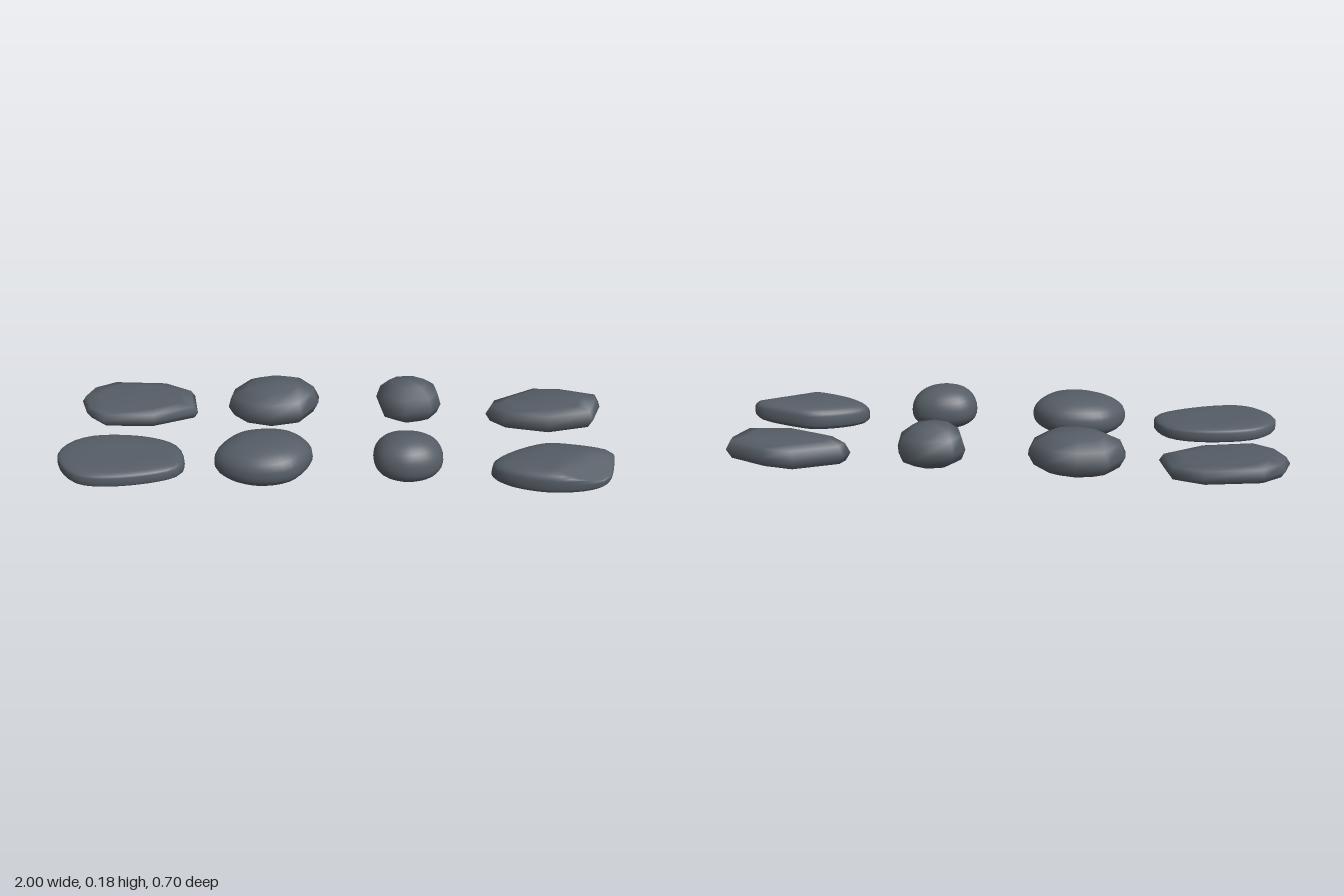
import * as THREE from 'three';

const stoneGrey = new THREE.MeshStandardMaterial({ color: 0x565d66 });
stoneGrey.name = 'stoneGrey';

// Each stone: plan outline [x, z], heights of underside, widest line and crown,
// squareness of the side profile (lower is boxier) and lean along x.
const STONES = [
  { name: 'flatStone', bottom: 0.012, middle: 0.045, top: 0.08, power: 0.5, lean: -0.035,
    outline: [[-1, 0.2], [-0.975, 0.125], [-0.9, 0.07], [-0.69, 0.057], [-0.575, 0.11],
      [-0.545, 0.24], [-0.7, 0.325], [-0.89, 0.344], [-0.965, 0.285]] },
  { name: 'wideStone', bottom: 0.002, middle: 0.072, top: 0.154, power: 0.85, lean: 0.03,
    outline: [[-0.425, 0.18], [-0.365, 0.09], [-0.255, 0.06], [-0.15, 0.08], [-0.083, 0.16],
      [-0.083, 0.21], [-0.14, 0.305], [-0.255, 0.335], [-0.36, 0.305], [-0.425, 0.24]] },
  { name: 'roundStone', bottom: 0.013, middle: 0.084, top: 0.177, power: 0.9, lean: -0.02,
    outline: [[0.138, 0.165], [0.175, 0.11], [0.285, 0.09], [0.37, 0.13], [0.385, 0.205],
      [0.35, 0.265], [0.25, 0.298], [0.16, 0.26]] },
  { name: 'wedgeStone', bottom: 0.012, middle: 0.06, top: 0.113, power: 0.6, lean: 0.06,
    chipped: true,
    outline: [[0.558, 0.21], [0.575, 0.168], [0.74, 0.077], [0.85, 0.087], [0.992, 0.142],
      [0.992, 0.18], [0.955, 0.283], [0.79, 0.317], [0.62, 0.27]] },
];

// Stack scaled copies of the outline into a closed stone with smooth normals
function stoneGeometry(stone, ring, levels, chipped) {
  const n = ring.length;
  const xs = stone.outline.map((p) => p[0]);
  const zs = stone.outline.map((p) => p[1]);
  const cx = (Math.min(...xs) + Math.max(...xs)) / 2;
  const cz = (Math.min(...zs) + Math.max(...zs)) / 2;
  const positions = [];
  const indices = [];
  const add = (x, y, z) => positions.push(x, y + (x - cx) * stone.lean, z);

  add(cx, stone.bottom, cz);
  for (let l = 1; l < levels; l++) {
    const angle = (l / levels - 0.5) * Math.PI;
    const scale = Math.pow(Math.cos(angle), stone.power);
    const s = Math.sin(angle);
    const rise = Math.pow(Math.abs(s), stone.power);
    const level = s < 0
      ? stone.middle - rise * (stone.middle - stone.bottom)
      : stone.middle + rise * (stone.top - stone.middle);
    for (const [px, pz] of ring) {
      const x = cx + (px - cx) * scale;
      const z = cz + (pz - cz) * scale;
      let y = level;
      // Sloping chip across one upper corner
      if (chipped && s > 0) {
        const past = 0.62 * x + 0.78 * z - 0.69;
        y = Math.max(stone.middle, Math.min(y, 0.113 - 0.4 * past));
      }
      add(x, y, z);
    }
  }
  add(cx, stone.top, cz);

  const last = positions.length / 3 - 1;
  const id = (l, i) => 1 + l * n + (i % n);
  for (let i = 0; i < n; i++) {
    indices.push(0, id(0, i), id(0, i + 1));
    for (let l = 0; l < levels - 2; l++) {
      const a = id(l, i), b = id(l, i + 1), c = id(l + 1, i), d = id(l + 1, i + 1);
      indices.push(b, a, c, b, c, d);
    }
    indices.push(id(levels - 2, i + 1), id(levels - 2, i), last);
  }

  const geometry = new THREE.BufferGeometry();
  geometry.setAttribute('position', new THREE.Float32BufferAttribute(positions, 3));
  geometry.setIndex(indices);
  geometry.computeVertexNormals();
  return geometry;
}

// Round an outline with a closed curve
function smoothRing(outline, count) {
  const points = outline.map(([x, z]) => new THREE.Vector3(x, 0, z));
  const curve = new THREE.CatmullRomCurve3(points, true);
  return curve.getSpacedPoints(count).slice(0, count).map((p) => [p.x, p.z]);
}

export function createModel() {
  const model = new THREE.Group();
  model.name = 'stones';
  for (const stone of STONES) {
    // Front row: finely rounded stones
    const fine = new THREE.Mesh(
      stoneGeometry(stone, smoothRing(stone.outline, 36), 18, stone.chipped), stoneGrey);
    fine.name = stone.name + 'Smooth';
    // Back row: the same stones with few sides
    const coarse = new THREE.Mesh(stoneGeometry(stone, stone.outline, 6, false), stoneGrey);
    coarse.name = stone.name + 'Coarse';
    coarse.position.z = -0.408;
    model.add(fine, coarse);
  }
  return model;
}
